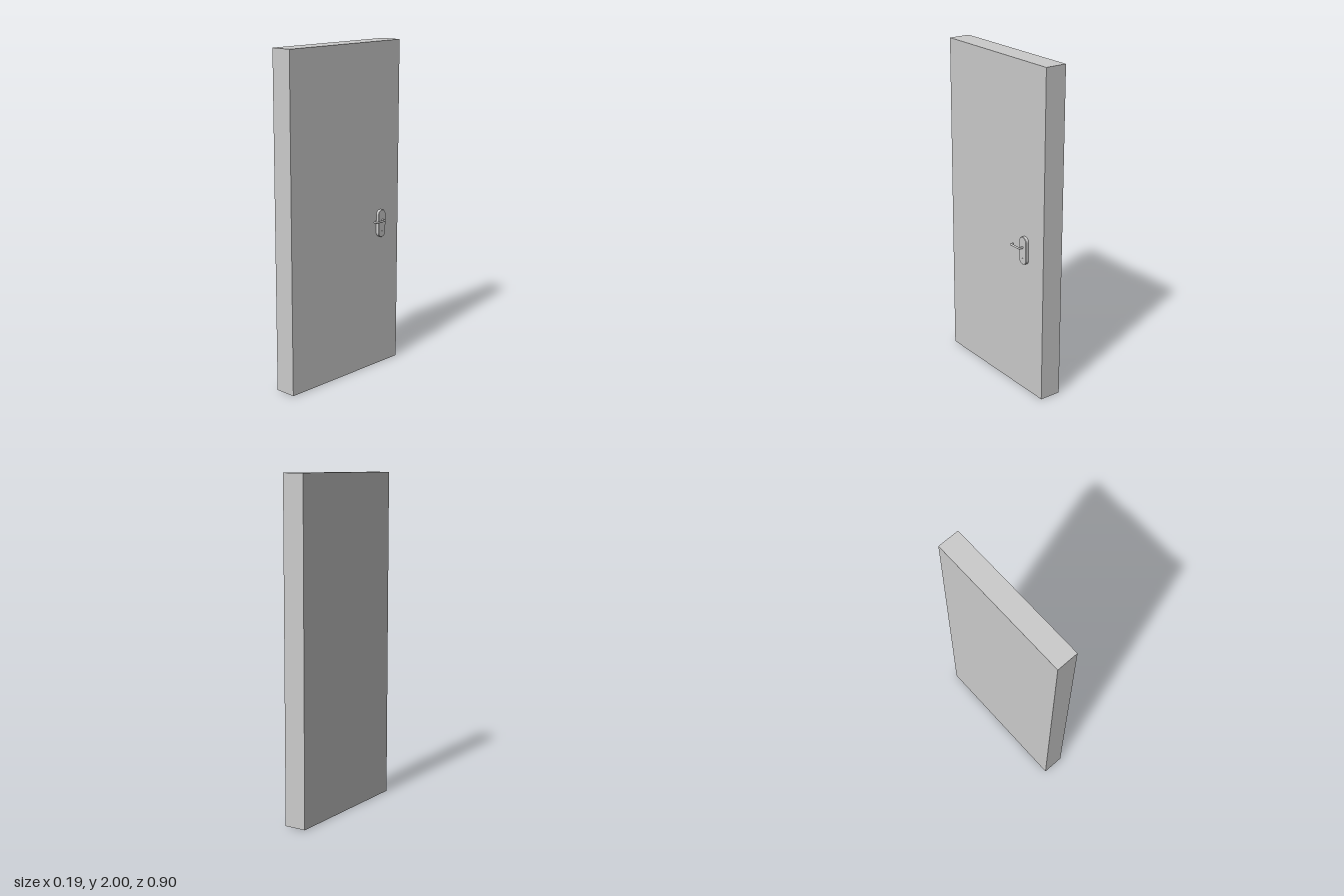
import * as THREE from 'three';

const material = new THREE.MeshStandardMaterial({ color: 0xcccccc });

function add(group, name, geometry, x = 0, y = 0, z = 0, mat = material) {
  const mesh = new THREE.Mesh(geometry, mat);
  mesh.name = name;
  mesh.position.set(x, y, z);
  group.add(mesh);
  return mesh;
}

// Upright rounded outline centred on the origin
function roundedOutline(w, h, r) {
  const s = new THREE.Shape();
  s.absarc(w / 2 - r, h / 2 - r, r, 0, Math.PI / 2);
  s.absarc(r - w / 2, h / 2 - r, r, Math.PI / 2, Math.PI);
  s.absarc(r - w / 2, r - h / 2, r, Math.PI, Math.PI * 1.5);
  s.absarc(w / 2 - r, r - h / 2, r, Math.PI * 1.5, Math.PI * 2);
  return s;
}

export function createModel() {
  const door = new THREE.Group();
  door.name = 'door';

  add(door, 'doorLeaf', new THREE.BoxGeometry(0.133, 2, 0.904), -0.0275, 1, 0);

  const handleSet = new THREE.Group();
  handleSet.name = 'handleSet';
  door.add(handleSet);

  // Backplate with a small keyhole below the lever
  const outline = roundedOutline(0.058, 0.164, 0.026);
  const keyhole = new THREE.Path();
  keyhole.absarc(0, -0.046, 0.003, 0, Math.PI * 2, true);
  outline.holes.push(keyhole);
  const plate = new THREE.ExtrudeGeometry(outline, {
    depth: 0.018, curveSegments: 6,
    bevelEnabled: true, bevelThickness: 0.002, bevelSize: 0.002, bevelSegments: 1,
  });
  plate.rotateY(Math.PI / 2);
  add(handleSet, 'backplate', plate, 0.04, 0.903, -0.287);

  // Lever: out of the plate, along the door, then back towards it
  const v = (x, z) => new THREE.Vector3(x, 0.924, z);
  const path = new THREE.CurvePath();
  path.add(new THREE.LineCurve3(v(0.05, -0.288), v(0.076, -0.288)));
  path.add(new THREE.QuadraticBezierCurve3(v(0.076, -0.288), v(0.085, -0.288), v(0.085, -0.279)));
  path.add(new THREE.LineCurve3(v(0.085, -0.279), v(0.085, -0.216)));
  path.add(new THREE.QuadraticBezierCurve3(v(0.085, -0.216), v(0.085, -0.208), v(0.077, -0.208)));
  path.add(new THREE.LineCurve3(v(0.077, -0.208), v(0.07, -0.208)));
  add(handleSet, 'lever', new THREE.TubeGeometry(path, 64, 0.006, 12, false));
  add(handleSet, 'leverTip', new THREE.SphereGeometry(0.006, 12, 8), 0.07, 0.924, -0.208);

  return door;
}
